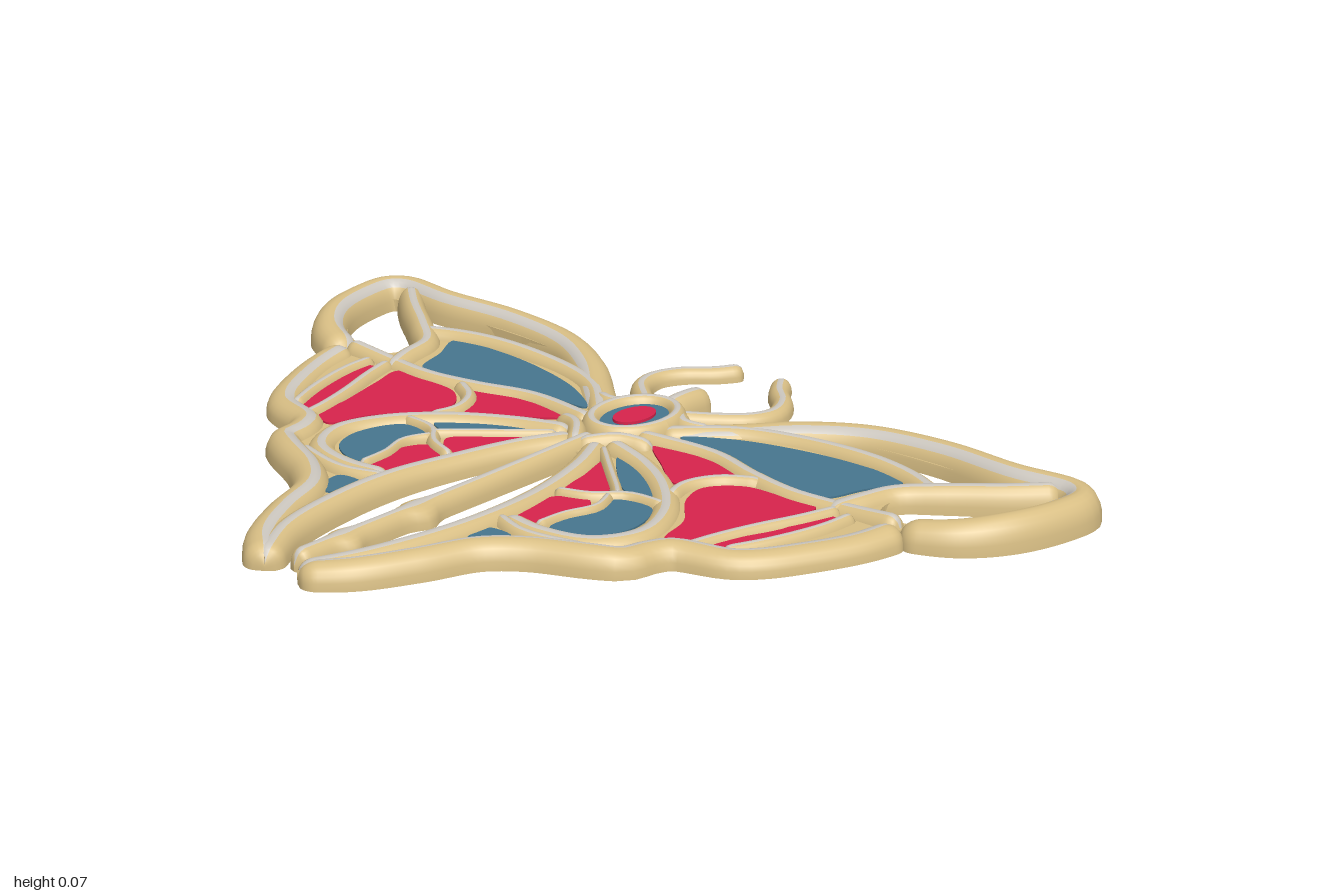
import * as THREE from 'three';

const gold = new THREE.MeshStandardMaterial({ color: 0xd9bf85 });
const silver = new THREE.MeshStandardMaterial({ color: 0xcdc8c0 });
const blue = new THREE.MeshStandardMaterial({ color: 0x47768f });
const red = new THREE.MeshStandardMaterial({ color: 0xd8234c });
gold.name = 'gold';
silver.name = 'silver';
blue.name = 'blueEnamel';
red.name = 'redEnamel';

// Points are [x, z, height]; side = -1 mirrors them.
const curveOf = (pts, side = 1, closed = false) => new THREE.CatmullRomCurve3(
  pts.map(([x, z, h = 0.045]) => new THREE.Vector3(x * side, h, z)), closed, 'centripetal');

// Flat-bottomed half-round strip along a curve, with rounded ends and a silver crest.
function ridge(name, pts, radius, { side = 1, closed = false, shift = 0, crest = 1 } = {}) {
  const curve = curveOf(pts, side, closed);
  const length = curve.getLength();
  const n = 12;
  const count = Math.max(12, Math.ceil(length / 0.014));
  const pos = [], goldFaces = [], silverFaces = [];
  const cols = n + 3;
  for (let i = 0; i <= count; i++) {
    // Samples crowd towards open ends so that the caps are round.
    const s = i / count;
    const t = closed ? s : s - Math.sin(2 * Math.PI * s) * 0.08;
    const p = curve.getPointAt(Math.min(1, Math.max(0, t)));
    const d = curve.getTangentAt(Math.min(1, Math.max(0, t))).setY(0).normalize();
    const r = typeof radius === 'function' ? radius(t) : radius;
    const e = closed ? 1 : Math.min(1, Math.min(t, 1 - t) * length / r);
    const k = Math.sqrt(Math.max(0, 1 - (1 - e) ** 2));
    for (let j = 0; j < cols; j++) {
      const a = Math.PI * j / n;
      const u = j <= n ? -Math.cos(a) : (j === n + 1 ? 1 : -1);
      const v = j <= n ? Math.sin(a) ** 0.8 : 0;
      pos.push(p.x + d.z * u * r * k, p.y * Math.max(0, v) * (0.3 + 0.7 * k), p.z - d.x * u * r * k);
    }
    if (i === count) break;
    for (let j = 0; j < cols - 1; j++) {
      if (j === n) continue;
      const a = i * cols + j, b = a + cols;
      const onCrest = crest && j < n && Math.abs(j + 0.5 - n / 2 - shift * side) < 1.2 * crest;
      (onCrest ? silverFaces : goldFaces).push(a, b, a + 1, a + 1, b, b + 1);
    }
  }
  const geo = new THREE.BufferGeometry();
  geo.setAttribute('position', new THREE.Float32BufferAttribute(pos, 3));
  geo.setIndex([...goldFaces, ...silverFaces]);
  geo.addGroup(0, goldFaces.length, 0);
  geo.addGroup(goldFaces.length, silverFaces.length, 1);
  geo.computeVertexNormals();
  const mesh = new THREE.Mesh(geo, [gold, silver]);
  mesh.name = name;
  return mesh;
}

// Flat plate lying between y and y + depth, outlined by points on the ground plane.
function plate(name, outline, material, y, depth, holes = []) {
  const flat = (list) => list.map((p) => new THREE.Vector2(p.x, -p.z));
  const shape = new THREE.Shape(flat(outline));
  holes.forEach((h) => shape.holes.push(new THREE.Path(flat(h))));
  const geo = new THREE.ExtrudeGeometry(shape, { depth, bevelEnabled: false });
  geo.rotateX(-Math.PI / 2).translate(0, y, 0);
  const mesh = new THREE.Mesh(geo, material);
  mesh.name = name;
  return mesh;
}
const loop = (pts, side) => curveOf(pts, side, true).getPoints(pts.length * 6).slice(0, -1);
const ellipse = (rx, rz, z, h) => Array.from({ length: 16 }, (_, i) => {
  const a = i * Math.PI / 8;
  return [rx * Math.cos(a), z + rz * Math.sin(a), h];
});

// Wing borders
const foreRim = [[0.08, -0.31, 0.04], [0.2, -0.42, 0.045], [0.29, -0.5, 0.052], [0.42, -0.57, 0.058],
  [0.6, -0.592, 0.064], [0.78, -0.577, 0.068], [0.92, -0.583, 0.07], [0.957, -0.55, 0.07],
  [0.955, -0.46, 0.07], [0.92, -0.35, 0.07], [0.86, -0.275, 0.062], [0.76, -0.225, 0.05]];
const sideRim = [[0.76, -0.225, 0.05], [0.737, -0.12], [0.69, -0.01], [0.65, 0.06], [0.61, 0.1],
  [0.5, 0.145, 0.05], [0.475, 0.19, 0.05], [0.462, 0.245, 0.052], [0.42, 0.275, 0.055], [0.3, 0.335, 0.055],
  [0.23, 0.4, 0.055], [0.18, 0.52, 0.055], [0.12, 0.63, 0.052], [0.045, 0.7, 0.045]];
const innerRim = [[0.03, -0.17], [0.085, -0.05], [0.125, 0.1], [0.145, 0.25, 0.05], [0.14, 0.4, 0.052],
  [0.105, 0.58, 0.052], [0.045, 0.7, 0.045]];

// Openings through the forewing
const slit = [[0.3, -0.475], [0.42, -0.532], [0.6, -0.55], [0.84, -0.535], [0.79, -0.48], [0.71, -0.435],
  [0.6, -0.475], [0.45, -0.49]];
const cornerHole = [[0.92, -0.535], [0.87, -0.535], [0.8, -0.46], [0.69, -0.385], [0.66, -0.32],
  [0.69, -0.26], [0.8, -0.28], [0.89, -0.37], [0.92, -0.46]];

// Veins: name, radius, points
const veins = [
  ['upperVein', 0.03, [[0.08, -0.3], [0.2, -0.41], [0.32, -0.455], [0.5, -0.465, 0.05], [0.62, -0.445, 0.05], [0.72, -0.4, 0.05]]],
  ['cornerVein', 0.032, [[0.9, -0.57, 0.065], [0.82, -0.5, 0.06], [0.72, -0.425, 0.055], [0.645, -0.36, 0.05], [0.62, -0.27, 0.05], [0.6, -0.2]]],
  ['middleVein', 0.03, [[0.06, -0.25, 0.05], [0.25, -0.275], [0.38, -0.24], [0.5, -0.22], [0.62, -0.23], [0.76, -0.235, 0.055]]],
  ['crossVein', 0.022, [[0.42, -0.23], [0.345, -0.18], [0.315, -0.11], [0.33, -0.04]]],
  ['outerVein', 0.022, [[0.62, -0.22], [0.595, -0.13], [0.56, -0.03], [0.535, 0.06], [0.52, 0.14]]],
  ['edgeVein', 0.02, [[0.66, -0.21], [0.655, -0.12], [0.625, 0], [0.585, 0.1]]],
  ['hindLoop', 0.033, [[0.05, -0.18, 0.05], [0.18, -0.14], [0.29, -0.07], [0.38, 0.03], [0.415, 0.14],
    [0.37, 0.23], [0.27, 0.262], [0.16, 0.25]]],
  ['hindVein', 0.016, [[0.06, -0.15], [0.15, -0.07], [0.23, 0], [0.26, 0.03]]],
  ['hindCrossVein', 0.018, [[0.36, 0], [0.27, 0.01], [0.215, 0.06], [0.14, 0.09]]],
  ['dividerVein', 0.015, [[0.24, 0.03], [0.265, 0.1], [0.245, 0.17], [0.24, 0.25]]],
  ['thoraxStrut', 0.025, [[0.05, -0.4, 0.05], [0.1, -0.36, 0.05], [0.16, -0.38, 0.045]]],
  ['waistStrut', 0.025, [[0.0, -0.13, 0.05], [0.06, -0.2, 0.055], [0.13, -0.23, 0.045]]],
  ['tailVein', 0.022, [[0.15, 0.26], [0.25, 0.29], [0.4, 0.26]]],
];

// Enamel cells: name, material, outline
const cells = [
  ['foreCell', blue, [[0.62, -0.425], [0.5, -0.437], [0.36, -0.42], [0.22, -0.375], [0.13, -0.31], [0.25, -0.3],
    [0.36, -0.265], [0.45, -0.245], [0.55, -0.25], [0.585, -0.34]]],
  ['largeCell', red, [[0.575, -0.2], [0.48, -0.2], [0.4, -0.19], [0.345, -0.13], [0.36, -0.06], [0.43, 0.03],
    [0.46, 0.12], [0.51, 0.1], [0.53, 0], [0.56, -0.12]]],
  ['edgeCell', red, [[0.65, -0.18], [0.61, -0.18], [0.595, -0.07], [0.555, 0.04], [0.55, 0.11], [0.58, 0.09], [0.62, -0.03]]],
  ['shoulderCell', red, [[0.38, -0.22], [0.27, -0.25], [0.12, -0.24], [0.2, -0.17], [0.29, -0.11], [0.32, -0.17]]],
  ['hindUpperCell', blue, [[0.11, -0.14], [0.2, -0.11], [0.3, -0.03], [0.25, -0.01], [0.16, -0.08]]],
  ['hindInnerCell', red, [[0.1, -0.11], [0.15, -0.06], [0.22, 0.02], [0.15, 0.07], [0.125, -0.02]]],
  ['hindOuterCell', blue, [[0.34, 0.02], [0.38, 0.12], [0.35, 0.2], [0.26, 0.23], [0.26, 0.12], [0.25, 0.04]]],
  ['hindLowerCell', red, [[0.22, 0.07], [0.25, 0.12], [0.235, 0.225], [0.15, 0.225], [0.16, 0.1]]],
  ['tailCell', blue, [[0.17, 0.31], [0.235, 0.31], [0.23, 0.36], [0.2, 0.39], [0.175, 0.37]]],
];

function wing(side) {
  const group = new THREE.Group();
  group.name = side > 0 ? 'leftWing' : 'rightWing';
  const sample = (pts) => curveOf(pts, side).getPoints(pts.length * 5);
  const outline = [...sample(foreRim), ...sample(sideRim).slice(1), ...sample(innerRim).reverse().slice(1)];
  group.add(plate('wingPlate', outline, gold, 0, 0.028, [loop(slit, side), loop(cornerHole, side)]));
  group.add(ridge('foreRim', foreRim, 0.042, { side, shift: 2 * -1 }));
  group.add(ridge('sideRim', sideRim, 0.04, { side, shift: -1 }));
  group.add(ridge('innerRim', innerRim, 0.034, { side }));
  veins.forEach(([name, r, pts]) => group.add(ridge(name, pts, r, { side })));
  cells.forEach(([name, mat, pts]) => group.add(plate(name, loop(pts, side), mat, 0.026, 0.006)));
  return group;
}

export function createModel() {
  const model = new THREE.Group();
  model.name = 'butterflyOrnament';
  model.add(wing(1), wing(-1));

  // Body: thorax setting with enamel, head, abdomen with two beads
  const body = new THREE.Group();
  body.name = 'body';
  body.add(plate('thoraxPlate', loop(ellipse(0.09, 0.12, -0.315)), gold, 0, 0.035));
  body.add(plate('waistPlate', loop(ellipse(0.05, 0.08, -0.18)), gold, 0, 0.03));
  body.add(ridge('thoraxRing', ellipse(0.078, 0.103, -0.315, 0.058), 0.024, { closed: true }));
  body.add(plate('thoraxEnamel', loop(ellipse(0.062, 0.086, -0.315)), blue, 0.034, 0.008));
  body.add(plate('thoraxJewel', loop(ellipse(0.035, 0.055, -0.315)), red, 0.042, 0.006));
  body.add(ridge('head', [[0, -0.545, 0.05], [0, -0.47, 0.055], [0, -0.4, 0.05]], 0.033));
  const bead = (t, c, w) => Math.exp(-(((t - c) / w) ** 2));
  body.add(ridge('abdomen', [[0, -0.19, 0.05], [0, 0.2, 0.045], [0, 0.665, 0.045]],
    (t) => 0.026 + 0.02 * bead(t, 0.61, 0.035) + 0.018 * bead(t, 0.845, 0.03)));
  model.add(body);

  // Antennae
  for (const side of [1, -1]) {
    model.add(ridge('antenna', [[0.03, -0.4, 0.04], [0.09, -0.45, 0.036], [0.15, -0.51, 0.034], [0.165, -0.57, 0.032],
      [0.14, -0.63, 0.032], [0.09, -0.68, 0.032], [0.053, -0.735, 0.034]], 0.024, { side }));
  }
  return model;
}
